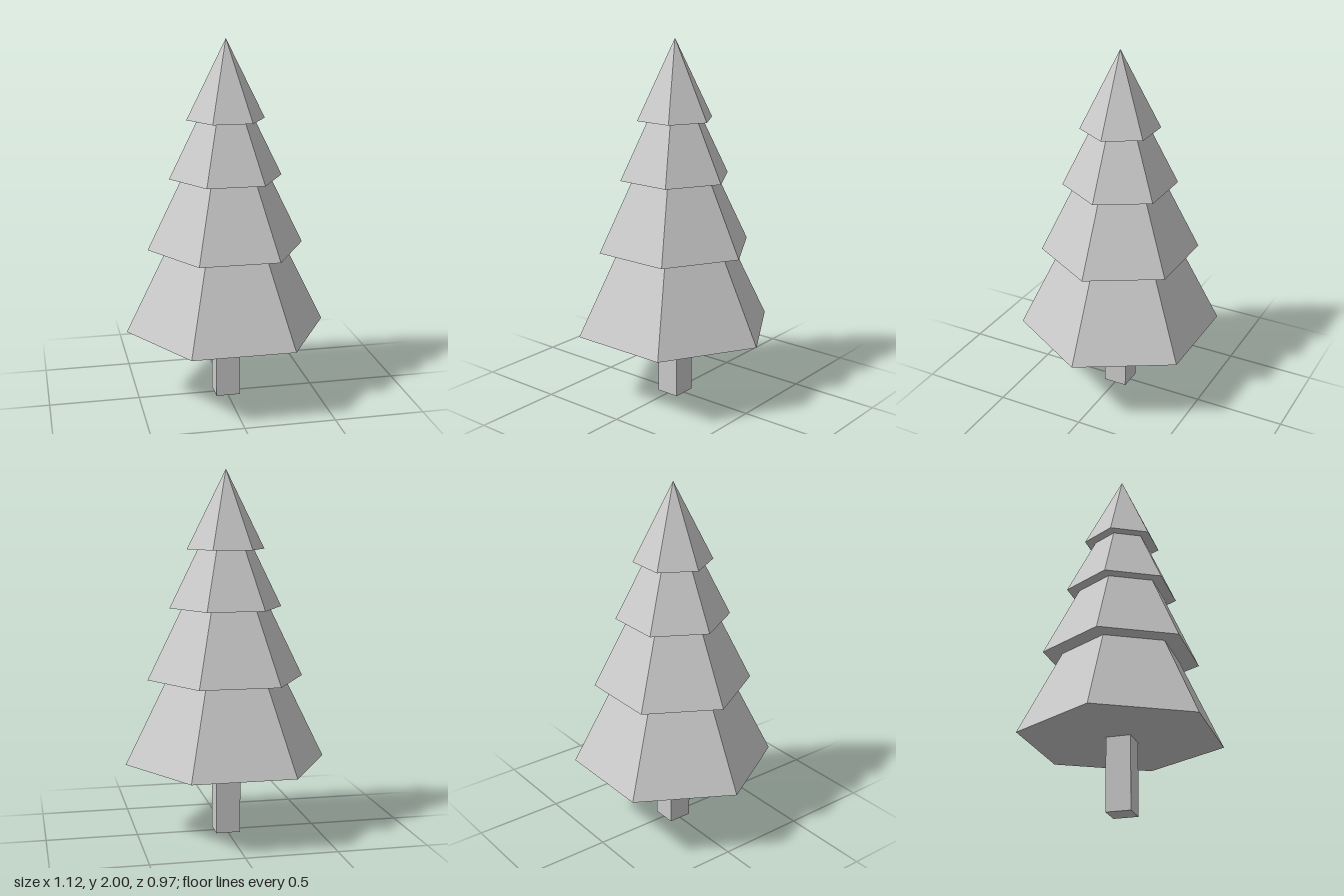
import * as THREE from 'three';

export function createModel() {
  const tree = new THREE.Group();
  tree.name = 'pineTree';
  const material = new THREE.MeshStandardMaterial({ color: 0xcccccc, flatShading: true });

  // Square trunk
  const trunkHeight = 0.4;
  const trunk = new THREE.Mesh(new THREE.BoxGeometry(0.135, trunkHeight, 0.135), material);
  trunk.name = 'trunk';
  trunk.position.y = trunkHeight / 2;
  tree.add(trunk);

  // Overlapping six-sided branch cones: [base y, apex y, radius]
  const tiers = [
    [0.4, 1.53, 0.56],
    [0.865, 1.75, 0.435],
    [1.255, 1.885, 0.312],
    [1.572, 2, 0.215],
  ];
  tiers.forEach(([base, apex, radius], i) => {
    // Start angle puts corners on the x axis
    const cone = new THREE.ConeGeometry(radius, apex - base, 6, 1, false, Math.PI / 6);
    const tier = new THREE.Mesh(cone, material);
    tier.name = `branchTier${i + 1}`;
    tier.position.y = (base + apex) / 2;
    tree.add(tier);
  });

  return tree;
}
